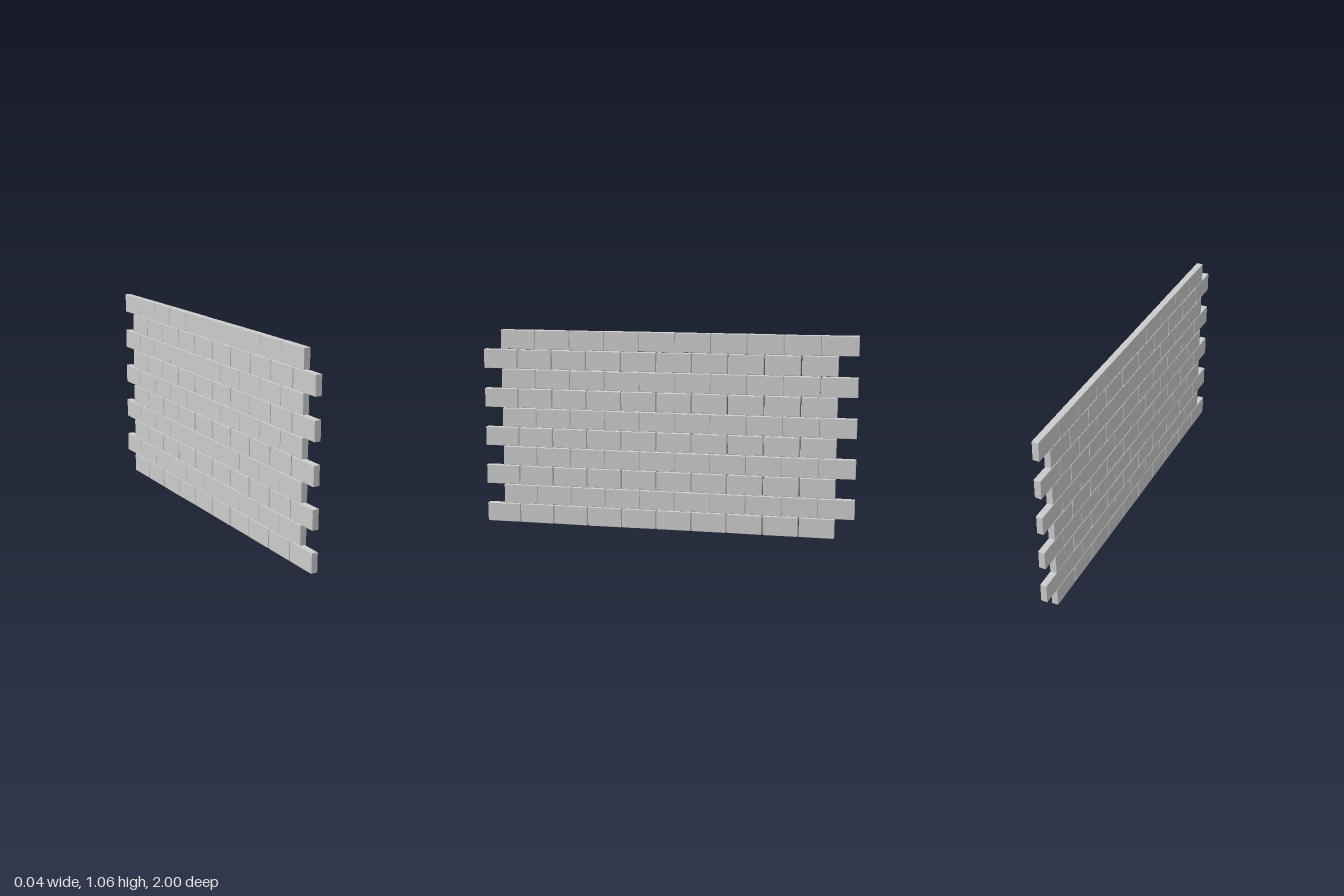
import * as THREE from 'three';
import { RoundedBoxGeometry } from 'three/addons/geometries/RoundedBoxGeometry.js';

const ROWS = 10, PER_ROW = 10;
const PITCH_Y = 0.106, PITCH_Z = 0.19, DEPTH = 0.036, OFFSET = 0.05;

// Small seeded generator for the hand-cut irregularity
function seeded(seed) {
  let s = seed;
  return () => (s = (s * 16807) % 2147483647) / 2147483647;
}

// A softly worn block whose eight corners are pulled in a little
function brickGeometry(height, length, seed) {
  const geo = new RoundedBoxGeometry(DEPTH, height, length, 1, 0.002);
  const rand = seeded(seed);
  const pulls = Array.from({ length: 8 }, () => [rand() * 0.001, rand() * 0.0015, rand() * 0.0015]);
  const pos = geo.attributes.position;
  for (let i = 0; i < pos.count; i++) {
    const x = pos.getX(i), y = pos.getY(i), z = pos.getZ(i);
    const pull = pulls[(x > 0 ? 1 : 0) + (y > 0 ? 2 : 0) + (z > 0 ? 4 : 0)];
    pos.setXYZ(i, x - Math.sign(x) * pull[0], y - Math.sign(y) * pull[1], z - Math.sign(z) * pull[2]);
  }
  return geo;
}

export function createModel() {
  const wall = new THREE.Group();
  wall.name = 'brickWall';
  const material = new THREE.MeshStandardMaterial({ color: 0xcccccc, flatShading: true });

  // Running-bond courses, alternately shifted by half a brick along z
  for (let r = 0; r < ROWS; r++) {
    const course = new THREE.Group();
    course.name = `course${r + 1}`;
    const odd = r % 2 === 1;
    const shift = odd ? -OFFSET : OFFSET;
    const length = odd ? PITCH_Z - 0.0005 : PITCH_Z - 0.004;
    for (let i = 0; i < PER_ROW; i++) {
      const seed = 1237 + r * 7919 + i * 104729;
      const brick = new THREE.Mesh(brickGeometry(PITCH_Y - 0.002, length, seed), material);
      brick.name = 'brick';
      brick.position.set(0, PITCH_Y * (r + 0.5), shift + (i - (PER_ROW - 1) / 2) * PITCH_Z);
      course.add(brick);
    }
    wall.add(course);
  }
  return wall;
}
